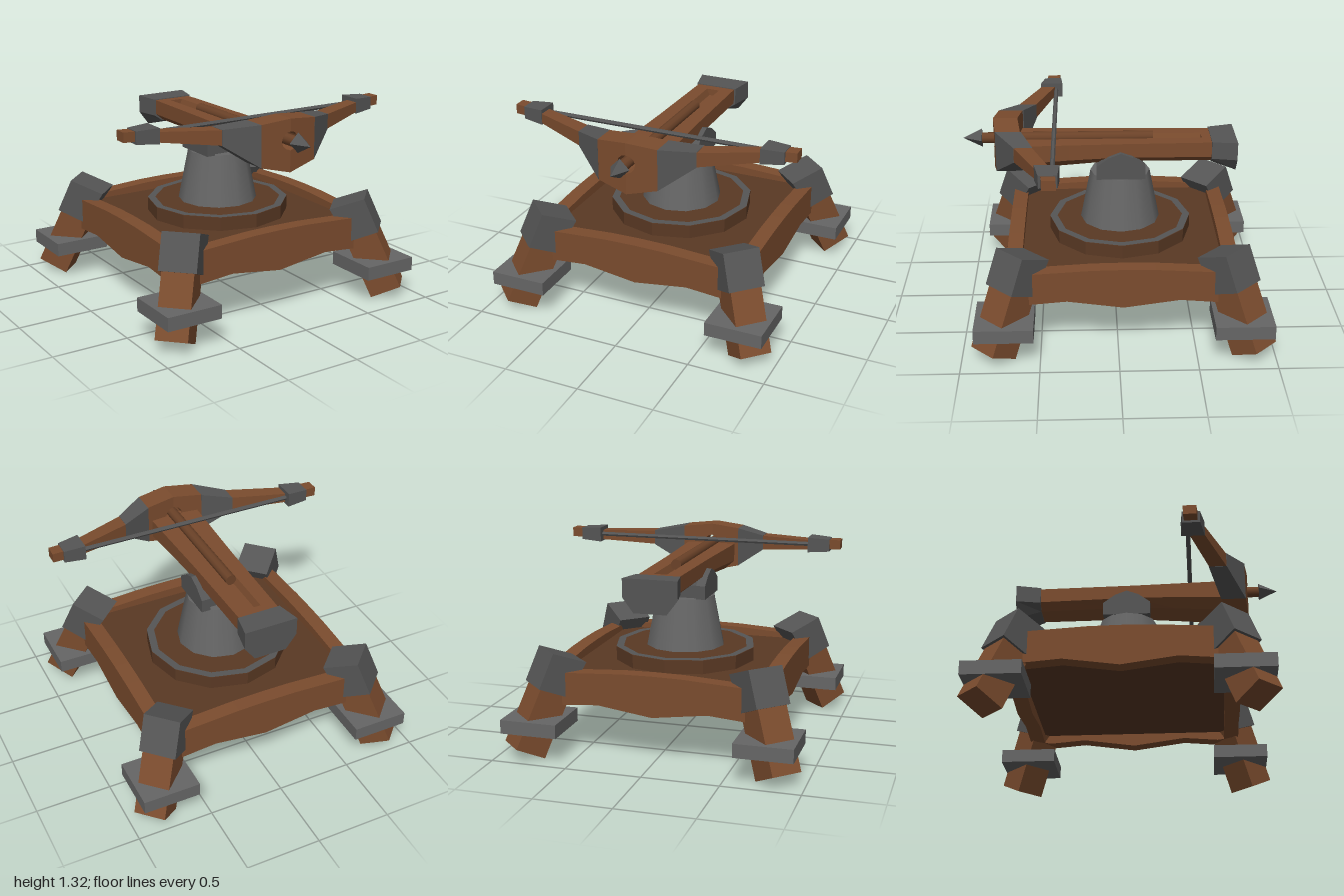
import * as THREE from 'three';

const mat = (color, flatShading = true) =>
  new THREE.MeshStandardMaterial({ color, flatShading });
const wood = mat(0x7b4c2e), darkWood = mat(0x5a3924), metal = mat(0x555555);
const paleMetal = mat(0x666666), smoothMetal = mat(0x666666, false);
const smoothWood = mat(0x6b4228, false);
const CZ = -0.033; // centre of the base in z

function add(parent, name, geometry, material, x = 0, y = 0, z = 0) {
  const mesh = new THREE.Mesh(geometry, material);
  mesh.name = name;
  mesh.position.set(x, y, z);
  parent.add(mesh);
  return mesh;
}

// Flat profile given an even thickness about z = 0
function slab(points, thickness) {
  const shape = new THREE.Shape(points.map(p => new THREE.Vector2(...p)));
  return new THREE.ExtrudeGeometry(shape, { depth: thickness, bevelEnabled: false })
    .translate(0, 0, -thickness / 2);
}

// Closed solid through sections [z, counter-clockwise xy points]
function loft(sections) {
  const pos = [];
  const at = (s, i) => {
    const p = s[1][i % s[1].length];
    pos.push(p[0], p[1], s[0]);
  };
  for (let k = 0; k < sections.length - 1; k++) {
    const a = sections[k], b = sections[k + 1];
    for (let i = 0; i < a[1].length; i++) {
      at(a, i); at(a, i + 1); at(b, i + 1);
      at(a, i); at(b, i + 1); at(b, i);
    }
  }
  const cap = (s, flip) => {
    const outline = s[1].map(p => new THREE.Vector2(...p));
    for (const [a, b, c] of THREE.ShapeUtils.triangulateShape(outline, [])) {
      at(s, a); at(s, flip ? c : b); at(s, flip ? b : c);
    }
  };
  cap(sections[0], true);
  cap(sections[sections.length - 1], false);
  const g = new THREE.BufferGeometry();
  g.setAttribute('position', new THREE.Float32BufferAttribute(pos, 3));
  g.computeVertexNormals();
  return g;
}

// Stock section with chamfered underside and an optional groove on top
function stockSection(z, w, top, side, bottom, groove) {
  const wb = w * 0.6, g = 0.045, d = top - 0.045;
  const notch = groove ? [[g, top], [g * 0.6, d], [-g * 0.6, d], [-g, top]] : [];
  return [z, [[-wb, bottom], [wb, bottom], [w, side], [w, top], ...notch, [-w, top], [-w, side]]];
}

// Tapering bar along +x through [x, y0, y1, z0, z1]
const bar = list => loft(list.map(([x, y0, y1, z0, z1]) =>
  [x, [[-z1, y0], [-z0, y0], [-z0, y1], [-z1, y1]]])).rotateY(Math.PI / 2);

function buildBase() {
  const base = new THREE.Group();
  base.name = 'base';
  base.position.z = CZ;
  const rail = slab([[-0.745, 0.36], [-0.6, 0.34], [-0.36, 0.36], [0, 0.31], [0.36, 0.36],
    [0.6, 0.34], [0.745, 0.36], [0.745, 0.55], [0.58, 0.555], [0.2, 0.577], [0, 0.58],
    [-0.2, 0.577], [-0.58, 0.555], [-0.745, 0.55]], 0.1).translate(0, 0, 0.695);
  const post = slab([[1.08, 0], [1.27, 0.09], [1.05, 0.56], [0.86, 0.47]], 0.205);
  const cap = slab([[0.92, 0.39], [1.11, 0.47], [1.01, 0.69], [0.785, 0.605]], 0.24);
  for (let i = 0; i < 4; i++) {
    add(base, 'rail', rail, wood).rotation.y = i * Math.PI / 2;
    const a = Math.PI / 4 + i * Math.PI / 2;
    add(base, 'leg', post, wood).rotation.y = a;
    add(base, 'legCap', cap, metal).rotation.y = a;
    add(base, 'legPlate', new THREE.BoxGeometry(0.375, 0.09, 0.375), paleMetal,
      1.07 * Math.cos(a), 0.225, 1.07 * Math.sin(a));
  }
  add(base, 'deck', new THREE.BoxGeometry(1.32, 0.12, 1.32), darkWood, 0, 0.46, 0);

  // Turntable and pedestal
  add(base, 'turntable', new THREE.CylinderGeometry(0.475, 0.475, 0.1, 12), darkWood, 0, 0.56, 0);
  add(base, 'turntableRing', new THREE.RingGeometry(0.425, 0.475, 12).rotateX(-Math.PI / 2),
    metal, 0, 0.613, 0);
  add(base, 'pedestal', new THREE.CylinderGeometry(0.198, 0.265, 0.34, 12), smoothMetal, 0, 0.78, 0);

  // Yoke with two cheeks holding the stock
  add(base, 'yokeBlock', new THREE.BoxGeometry(0.26, 0.09, 0.26), metal, 0, 0.99, 0);
  const cheek = slab([[-0.16, 0.95], [0.16, 0.95], [0.16, 1.04], [0.08, 1.1], [0, 1.13],
    [-0.08, 1.1], [-0.16, 1.04]], 0.06).rotateY(Math.PI / 2);
  for (const s of [-1, 1]) add(base, 'yokeCheek', cheek, metal, s * 0.15, 0, 0);
  return base;
}

function buildStock() {
  const stock = new THREE.Group();
  stock.name = 'stock';
  add(stock, 'grooveBeam', loft([
    stockSection(-0.57, 0.136, 1.185, 1.085, 1.04, true),
    stockSection(0, 0.147, 1.185, 1.09, 1.045, true),
    stockSection(0.3, 0.158, 1.185, 1.08, 1.025, true),
    stockSection(0.66, 0.172, 1.185, 1.06, 1.0, true)]), wood);
  add(stock, 'rearBeam', loft([
    stockSection(-0.65, 0.134, 1.185, 1.085, 1.04),
    stockSection(-0.57, 0.136, 1.185, 1.085, 1.04)]), wood);
  add(stock, 'buttCap', loft([
    stockSection(-0.795, 0.178, 1.195, 1.075, 0.98),
    stockSection(-0.63, 0.145, 1.19, 1.075, 1.035)]), metal);
  return stock;
}

function buildBow() {
  const bow = new THREE.Group();
  bow.name = 'bow';
  for (const s of [-1, 1]) {
    // Half of the centre block with half of the bolt hole, swept back to the side
    const outline = [[0, 1.32], [0.2 * s, 1.3], [0.2 * s, 1.03], [0, 0.98]];
    for (let i = 0; i <= 6; i++) {
      const t = -Math.PI / 2 + i * Math.PI / 6;
      outline.push([s * 0.06 * Math.cos(t), 1.18 + 0.06 * Math.sin(t)]);
    }
    const half = slab(outline, 0.16).translate(0, 0, 0.72);
    const p = half.attributes.position;
    for (let i = 0; i < p.count; i++) p.setZ(i, p.getZ(i) - 0.125 * Math.abs(p.getX(i)));
    half.computeVertexNormals();
    add(bow, 'bowCentre', half, wood);

    // Limb parts
    const limb = new THREE.Group();
    limb.name = 'limb';
    limb.scale.x = s;
    add(limb, 'innerBand', bar([[0.2, 1.03, 1.3, 0.61, 0.776], [0.4, 1.17, 1.27, 0.53, 0.65]]), metal);
    add(limb, 'arm', bar([[0.4, 1.172, 1.268, 0.532, 0.648], [0.76, 1.21, 1.275, 0.405, 0.5]]), wood);
    add(limb, 'outerBand', bar([[0.75, 1.2, 1.3, 0.355, 0.508], [0.895, 1.21, 1.292, 0.365, 0.48]]), metal);
    add(limb, 'tip', bar([[0.89, 1.225, 1.288, 0.378, 0.465], [0.968, 1.227, 1.29, 0.373, 0.458]]), wood);
    bow.add(limb);
  }
  add(bow, 'string', new THREE.CylinderGeometry(0.015, 0.015, 1.52, 6).rotateZ(Math.PI / 2),
    metal, 0, 1.25, 0.4);
  return bow;
}

function buildBolt() {
  const bolt = new THREE.Group();
  bolt.name = 'bolt';
  bolt.position.y = 1.185;
  add(bolt, 'shaft', new THREE.CylinderGeometry(0.036, 0.036, 1.13, 10).rotateX(Math.PI / 2),
    smoothWood, 0, 0, 0.315);
  add(bolt, 'head', new THREE.ConeGeometry(0.064, 0.125, 4).rotateX(Math.PI / 2),
    metal, 0, 0, 0.9375);
  return bolt;
}

export function createModel() {
  const model = new THREE.Group();
  model.name = 'ballista';
  model.add(buildBase(), buildStock(), buildBow(), buildBolt());
  return model;
}
